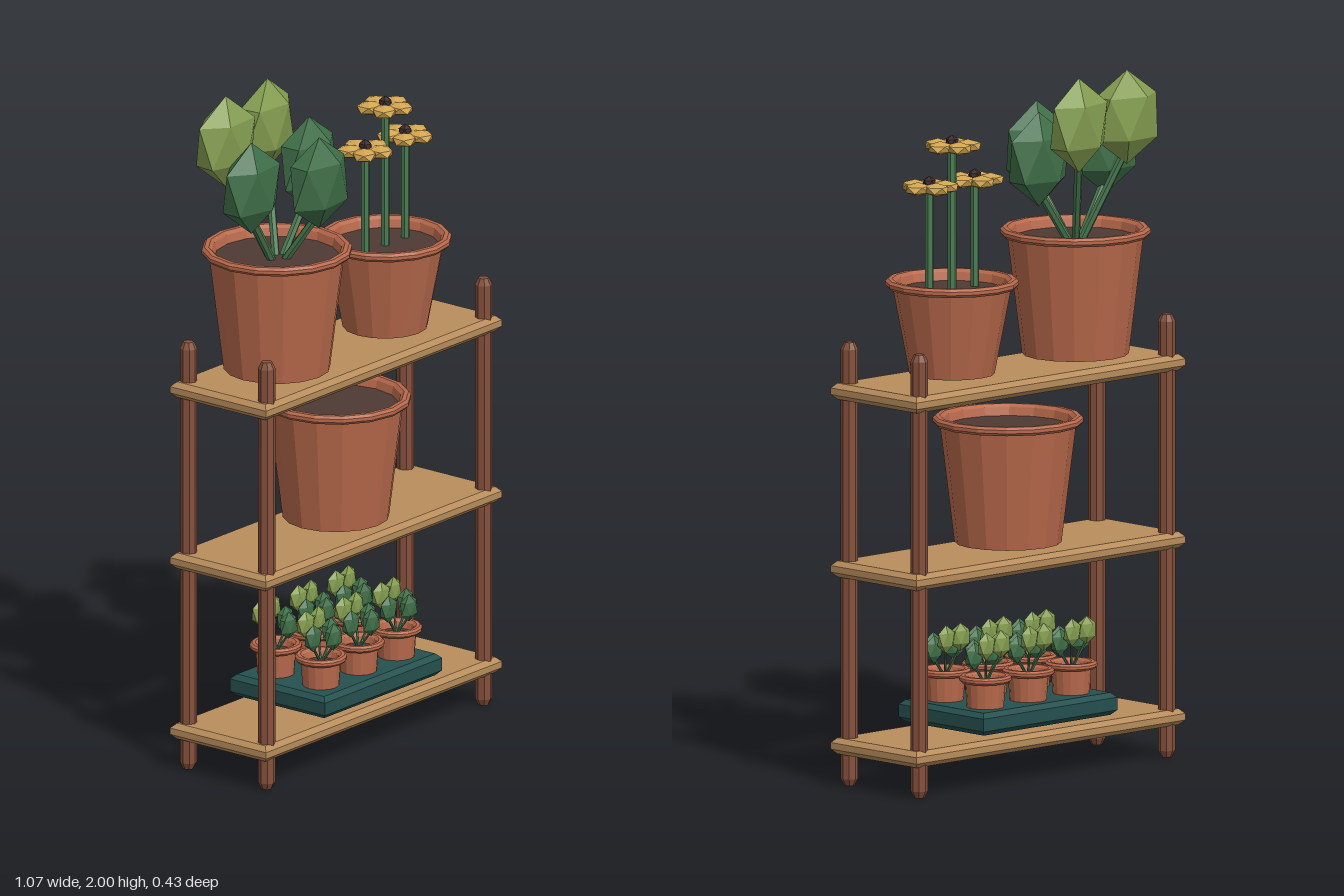
import * as THREE from 'three';

const mat = (name, color) => {
  const m = new THREE.MeshStandardMaterial({ color });
  m.name = name;
  return m;
};

export function createModel() {
  const model = new THREE.Group();
  model.name = 'plantShelf';

  const shelfWood = mat('shelf wood', 0xb98d5c);
  const postWood = mat('post wood', 0x85503c);
  const terracotta = mat('terracotta', 0xb8694b);
  const earth = mat('soil', 0x4e3a33);
  const darkLeaf = mat('dark leaf', 0x3f6e48);
  const lightLeaf = mat('light leaf', 0x849d50);
  const stemGreen = mat('stem green', 0x4a7a52);
  const petalYellow = mat('petal yellow', 0xd2a550);
  const seedBrown = mat('flower centre', 0x3b2a2b);
  const trayTeal = mat('tray teal', 0x25504e);

  function add(parent, name, geometry, material, x = 0, y = 0, z = 0) {
    const mesh = new THREE.Mesh(geometry, material);
    mesh.name = name;
    mesh.position.set(x, y, z);
    parent.add(mesh);
    return mesh;
  }

  function group(parent, name, x, y, z) {
    const g = new THREE.Group();
    g.name = name;
    g.position.set(x, y, z);
    parent.add(g);
    return g;
  }

  // faceted solid of revolution
  function turned(points, sides) {
    const g = new THREE.LatheGeometry(points.map(p => new THREE.Vector2(...p)), sides).toNonIndexed();
    g.computeVertexNormals();
    return g;
  }

  // board with chamfered edges, bottom at y = 0
  function board(w, h, d, b) {
    const x = w / 2 - b, z = d / 2 - b;
    const s = new THREE.Shape([[-x, -z], [x, -z], [x, z], [-x, z]].map(p => new THREE.Vector2(...p)));
    const g = new THREE.ExtrudeGeometry(s, {
      depth: h - 2 * b, bevelEnabled: true, bevelSize: b, bevelThickness: b, bevelSegments: 1,
    });
    return g.rotateX(-Math.PI / 2).translate(0, b, 0);
  }

  // faceted blob with a vertex at the top and bottom
  function blob(rx, ry, rz) {
    const g = new THREE.IcosahedronGeometry(1, 0);
    g.rotateX(-Math.atan2(1 + Math.sqrt(5), 2)).rotateY(Math.PI / 2);
    return g.scale(rx, ry, rz);
  }

  // straight stem between two points
  function stem(parent, a, b, r) {
    const dir = b.clone().sub(a);
    const g = new THREE.CylinderGeometry(r, r, dir.length(), 6).toNonIndexed();
    g.computeVertexNormals();
    const m = add(parent, 'stem', g, stemGreen);
    m.position.copy(a).add(b).multiplyScalar(0.5);
    m.quaternion.setFromUnitVectors(new THREE.Vector3(0, 1, 0), dir.normalize());
  }

  // pot with rolled rim and soil
  function pot(name, x, y, z, R, base, h, lip) {
    const g = group(model, name, x, y, z);
    const inner = R - lip * 1.5;
    add(g, 'potBody', turned([
      [0, 0], [base, 0], [R - lip * 0.85, h - lip], [R - lip * 0.25, h - lip],
      [R, h - lip * 0.7], [R, h - lip * 0.3], [R - lip * 0.3, h],
      [R - lip * 0.8, h], [R - lip * 1.2, h - lip * 0.35], [inner, h - lip * 1.5],
    ], 16), terracotta);
    add(g, 'soil', turned([[inner + 0.004, h - lip * 1.3], [0, h - lip * 1.3]], 16), earth);
    return g;
  }

  // five leaves on spreading stems, rooted at the soil
  function leafyPlant(parent, y, scale) {
    const g = group(parent, 'leafyPlant', 0, y, 0);
    g.scale.setScalar(scale);
    const leaves = [
      // x, y, z, turn, material
      [-0.105, 0.365, -0.103, 3.04, lightLeaf],
      [0.095, 0.365, -0.113, 0.08, lightLeaf],
      [-0.142, 0.26, 0.022, 3.1, darkLeaf],
      [0.147, 0.26, -0.002, 0, darkLeaf],
      [0.018, 0.26, 0.141, -0.05, darkLeaf],
    ];
    for (const [lx, ly, lz, turn, m] of leaves) {
      add(g, 'leaf', blob(0.119, 0.137, 0.062), m, lx, ly, lz).rotation.y = turn;
      stem(g, new THREE.Vector3(0, -0.03, 0), new THREE.Vector3(lx, ly - 0.09, lz), 0.012);
    }
  }

  // daisy with five petals
  function flower(parent, x, bottom, top) {
    const g = group(parent, 'flower', x, 0, 0);
    stem(g, new THREE.Vector3(0, bottom, 0), new THREE.Vector3(0, top, 0), 0.013);
    for (let i = 0; i < 5; i++) {
      const a = i * Math.PI * 2 / 5;
      add(g, 'petal', blob(0.042, 0.02, 0.038), petalYellow,
        0.046 * Math.cos(a), top, 0.046 * Math.sin(a)).rotation.y = -a;
    }
    add(g, 'flowerCentre', blob(0.021, 0.021, 0.021), seedBrown, 0, top + 0.012, 0);
  }

  // rack: three shelves on four octagonal posts
  for (const y of [0.092, 0.605, 1.12]) {
    add(model, 'shelf', board(1.066, 0.047, 0.354, 0.014), shelfWood, 0, y, 0);
  }
  for (const x of [-0.49, 0.49]) {
    for (const z of [-0.144, 0.144]) {
      add(model, 'post', turned([
        [0, 0], [0.015, 0], [0.025, 0.02], [0.025, 1.265], [0.015, 1.285], [0, 1.285],
      ], 8), postWood, x, 0, z);
    }
  }

  // top shelf
  const leafyPot = pot('leafyPot', -0.267, 1.18, 0, 0.216, 0.153, 0.367, 0.025);
  leafyPlant(leafyPot, 0.32, 1);
  const flowerPot = pot('flowerPot', 0.222, 1.18, 0, 0.191, 0.122, 0.275, 0.025);
  [[-0.09, 0.55], [0, 0.658], [0.09, 0.55]].forEach(([x, top]) => flower(flowerPot, x, 0.22, top));

  // middle shelf
  pot('emptyPot', 0, 0.665, 0, 0.216, 0.153, 0.367, 0.025);

  // seedling tray on the bottom shelf
  add(model, 'tray', board(0.53, 0.065, 0.35, 0.014), trayTeal, 0, 0.153, 0);
  for (const x of [-0.17, 0, 0.17]) {
    for (const z of [-0.083, 0.083]) {
      const p = pot('seedlingPot', x, 0.2, z, 0.075, 0.052, 0.11, 0.02);
      leafyPlant(p, 0.09, 0.3);
    }
  }
  return model;
}
